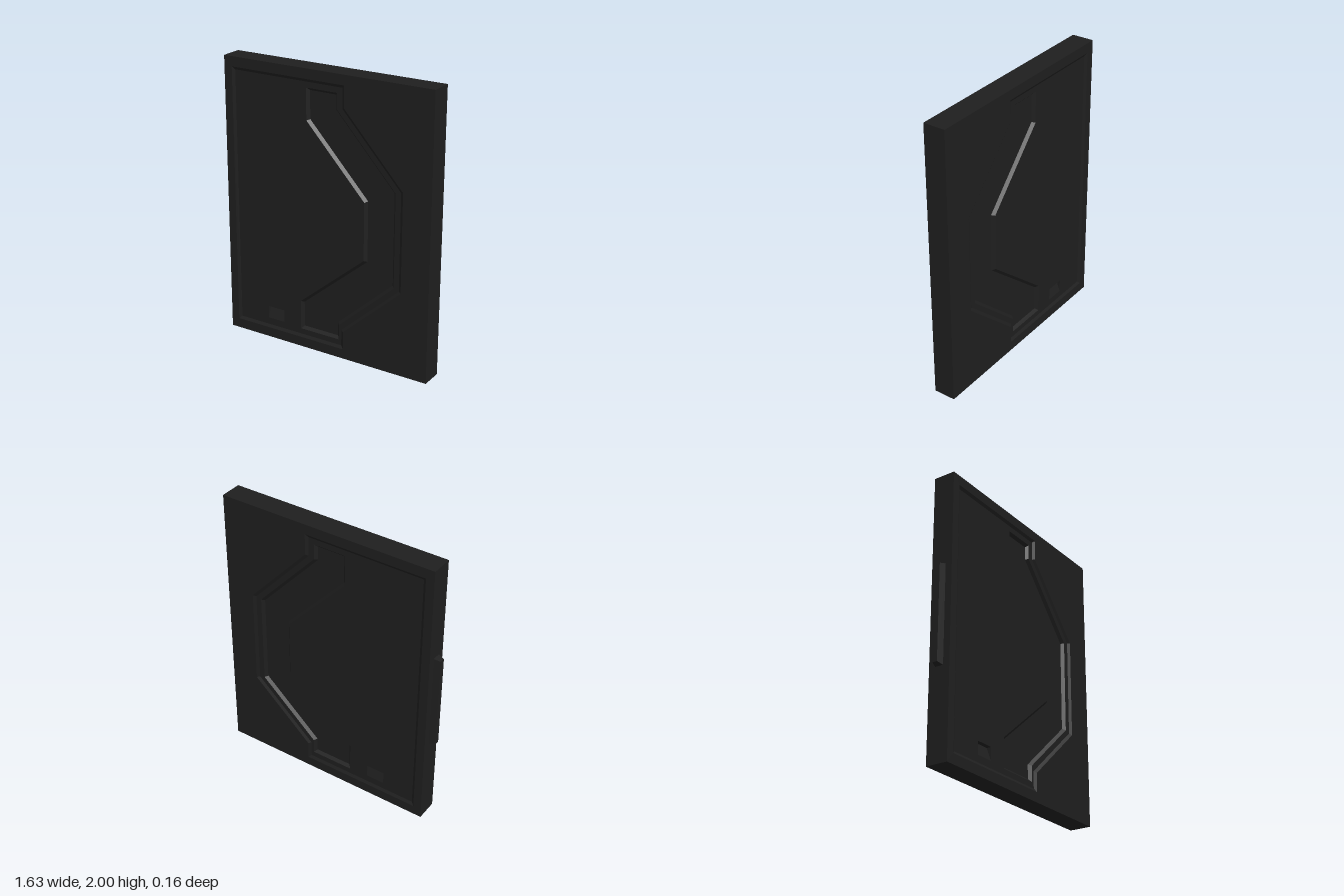
import * as THREE from 'three';
import { mergeGeometries } from 'three/addons/utils/BufferGeometryUtils.js';

const HALF = 0.078;          // half thickness of the panel
const FIELD = HALF - 0.012;  // level of the shallow field
const CHANNEL = HALF - 0.032; // level of the deep channel
const NOTCH = HALF - 0.045;  // deepest level of the finger notch

// Outlines run counter-clockwise
const rect = (x0, y0, x1, y1) => [[x0, y0], [x1, y0], [x1, y1], [x0, y1]];
const panelOutline = rect(-0.77, 0, 0.815, 2);
const fieldOutline = [[-0.71, 0.07], [0.17, 0.07], [0.17, 0.2], [0.61, 0.6],
  [0.61, 1.3], [0.17, 1.78], [0.17, 1.93], [-0.71, 1.93]];
const channelOutline = [[-0.18, 0.13], [0.13, 0.13], [0.13, 0.24], [0.55, 0.62],
  [0.55, 1.28], [0.11, 1.76], [0.11, 1.87], [-0.125, 1.87],
  [-0.125, 1.65], [0.32, 1.17], [0.32, 0.76], [-0.18, 0.34]];
const notchOutline = rect(-0.455, 0.14, -0.32, 0.23);

// Moves every edge of an outline inwards by d
function inset(pts, d) {
  const n = pts.length;
  const normal = (a, b) => new THREE.Vector2(a[1] - b[1], b[0] - a[0]).normalize();
  return pts.map((p, i) => {
    const n1 = normal(pts[(i + n - 1) % n], p), n2 = normal(p, pts[(i + 1) % n]);
    const k = d / (1 + n1.dot(n2));
    return [p[0] + (n1.x + n2.x) * k, p[1] + (n1.y + n2.y) * k];
  });
}

const at = (pts, z) => pts.map(([x, y]) => [x, y, z]);

function triangles(corners) {
  const g = new THREE.BufferGeometry();
  g.setAttribute('position', new THREE.Float32BufferAttribute(corners.flat(), 3));
  g.computeVertexNormals();
  return g;
}

// Wall joining two loops of equal length
function wall(a, b) {
  const t = [];
  a.forEach((p, i) => {
    const j = (i + 1) % a.length;
    t.push(p, a[j], b[j], p, b[j], b[i]);
  });
  return triangles(t);
}

// Flat plate with holes at level z
function plate(outline, holes, z) {
  const vec = (pts) => pts.map(([x, y]) => new THREE.Vector2(x, y));
  const shape = new THREE.Shape(vec(outline));
  for (const h of holes) shape.holes.push(new THREE.Path(vec(h)));
  const g = new THREE.ShapeGeometry(shape).toNonIndexed().translate(0, 0, z);
  g.deleteAttribute('uv');
  return g;
}

export function createModel() {
  const model = new THREE.Group();
  const material = new THREE.MeshStandardMaterial({ color: 0x1f1f1f });
  const add = (parent, name, geometry) => {
    const mesh = new THREE.Mesh(geometry, material);
    mesh.name = name;
    parent.add(mesh);
    return mesh;
  };

  // Rim around the slab
  add(model, 'panelRim', wall(at(panelOutline, -HALF), at(panelOutline, HALF)));

  // Both faces carry the same relief; the back one is mirrored, then turned round
  for (const side of [1, -1]) {
    const map = (pts) => side > 0 ? pts : pts.map(([x, y]) => [-x, y]).reverse();
    const face = new THREE.Group();
    face.name = side > 0 ? 'frontFace' : 'backFace';
    if (side < 0) face.rotation.y = Math.PI;
    model.add(face);

    const panel = map(panelOutline), field = map(fieldOutline);
    const channel = map(channelOutline), notch = map(notchOutline);
    const fieldFloor = inset(field, 0.02), channelFloor = inset(channel, 0.018);

    add(face, 'outerSurface', plate(panel, [field], HALF));
    add(face, 'recessedField', mergeGeometries([
      wall(at(field, HALF), at(fieldFloor, FIELD)),
      plate(fieldFloor, [channel, notch], FIELD),
    ]));
    add(face, 'channel', mergeGeometries([
      wall(at(channel, FIELD), at(channelFloor, CHANNEL)),
      plate(channelFloor, [], CHANNEL),
    ]));

    // Finger notch: ramp sinking towards its upper edge
    const ramp = notch.map(([x, y]) => [x, y, y > 0.2 ? NOTCH : FIELD]);
    const [a, b, c, d] = ramp;
    add(face, 'fingerNotch', mergeGeometries([
      wall(at(notch, FIELD), ramp),
      triangles([a, b, c, a, c, d]),
    ]));
  }

  // Tapered tongue on the side edge
  const tongue = new THREE.BoxGeometry(0.045, 0.7, 0.06);
  const p = tongue.attributes.position;
  for (let i = 0; i < p.count; i++) {
    if (p.getX(i) < 0) {
      p.setY(i, p.getY(i) * 0.97);
      p.setZ(i, p.getZ(i) * 0.6);
    }
  }
  tongue.computeVertexNormals();
  add(model, 'sideTongue', tongue).position.set(-0.7925, 0.98, 0);

  return model;
}
